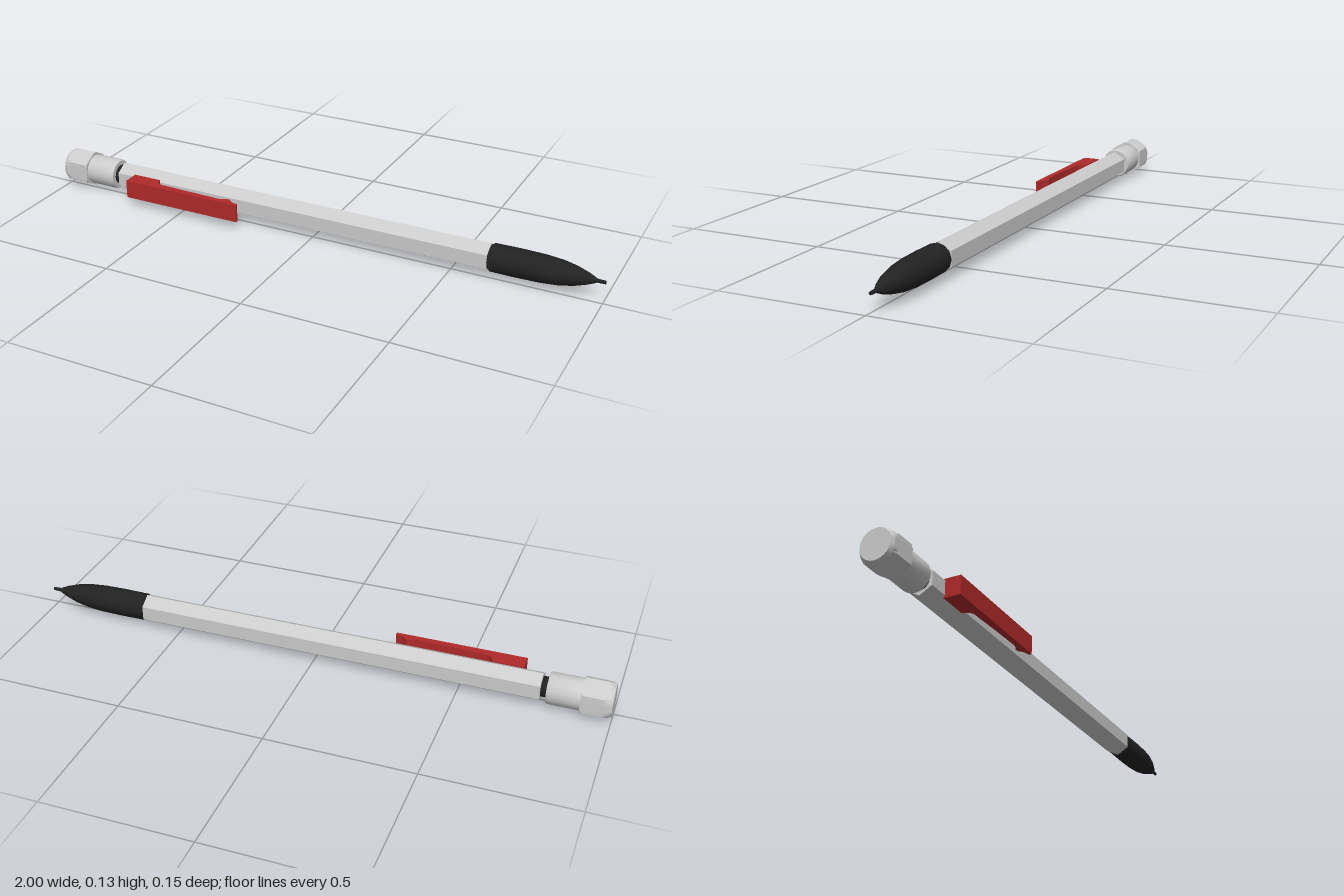
import * as THREE from 'three';
import { toCreasedNormals } from 'three/addons/utils/BufferGeometryUtils.js';

const AXIS_Y = 0.066, AXIS_Z = -0.018;

// Turns [x, radius] pairs around the long axis of the pencil
function turned(profile, sides) {
  const points = profile.map(([x, r]) => new THREE.Vector2(r, x));
  return new THREE.LatheGeometry(points, sides, Math.PI / 2).rotateZ(-Math.PI / 2);
}

// Trims a round solid to a hexagon whose corners point up and down
function trimToHexagon(geometry, apothem) {
  const p = geometry.attributes.position;
  for (let i = 0; i < p.count; i++) {
    const y = p.getY(i), z = p.getZ(i), r = Math.hypot(y, z);
    if (r < 1e-6) continue;
    const sector = Math.PI / 3;
    const a = Math.atan2(y, z);
    const off = a - Math.round(a / sector) * sector;
    const s = Math.min(1, apothem / Math.cos(off) / r);
    p.setXYZ(i, p.getX(i), y * s, z * s);
  }
  return geometry;
}

export function createModel() {
  const model = new THREE.Group();
  const grey = new THREE.MeshStandardMaterial({ color: 0xcccccc });
  const black = new THREE.MeshStandardMaterial({ color: 0x222222 });
  const red = new THREE.MeshStandardMaterial({ color: 0xb02a2a });

  const add = (name, geometry, material, crease = 0.5) => {
    const mesh = new THREE.Mesh(toCreasedNormals(geometry, crease), material);
    mesh.name = name;
    mesh.position.set(0, AXIS_Y, AXIS_Z);
    model.add(mesh);
    return mesh;
  };

  // Hexagonal barrel
  add('barrel', turned([[-0.77, 0], [-0.77, 0.049], [0.626, 0.049], [0.626, 0]], 6), grey);

  // Hexagonal push cap with rounded corners
  const cap = turned([[-1, 0], [-1, 0.052], [-0.988, 0.06], [-0.968, 0.066],
    [-0.905, 0.066], [-0.9, 0.062], [-0.9, 0]], 48);
  add('pushCap', trimToHexagon(cap, 0.0575), grey, 0.35);

  // Round collar and the dark neck joining it to the barrel
  add('collar', turned([[-0.91, 0.05], [-0.895, 0.053], [-0.797, 0.053],
    [-0.79, 0.05], [-0.79, 0]], 24), grey);
  add('neck', turned([[-0.795, 0.034], [-0.765, 0.034]], 16), black);

  // Tapered grip ending in the lead sleeve
  add('grip', turned([[0.62, 0], [0.62, 0.042], [0.632, 0.042], [0.632, 0.0465],
    [0.72, 0.0475], [0.8, 0.046], [0.86, 0.041], [0.905, 0.032],
    [0.945, 0.019], [0.968, 0.009]], 12), black, 0.7);
  add('leadSleeve', turned([[0.96, 0.012], [0.972, 0.0065], [1, 0.0055], [1, 0]], 12), black);

  // Pocket clip: mounting block, thin arm and a small gripping bump
  const side = new THREE.Shape();
  side.moveTo(-0.7, 0.078);
  side.lineTo(-0.7, 0.02);
  side.lineTo(-0.595, 0.02);
  side.quadraticCurveTo(-0.592, 0.046, -0.57, 0.05);
  side.lineTo(-0.45, 0.055);
  side.lineTo(-0.335, 0.058);
  side.quadraticCurveTo(-0.32, 0.056, -0.312, 0.05);
  side.quadraticCurveTo(-0.3, 0.044, -0.29, 0.052);
  side.quadraticCurveTo(-0.284, 0.062, -0.255, 0.068);
  side.lineTo(-0.255, 0.078);
  side.closePath();
  const clip = new THREE.ExtrudeGeometry(side, { depth: 0.064, bevelEnabled: false, curveSegments: 6 });
  clip.rotateX(Math.PI / 2);
  add('pocketClip', clip, red).position.set(0, 0.097, 0);

  return model;
}
